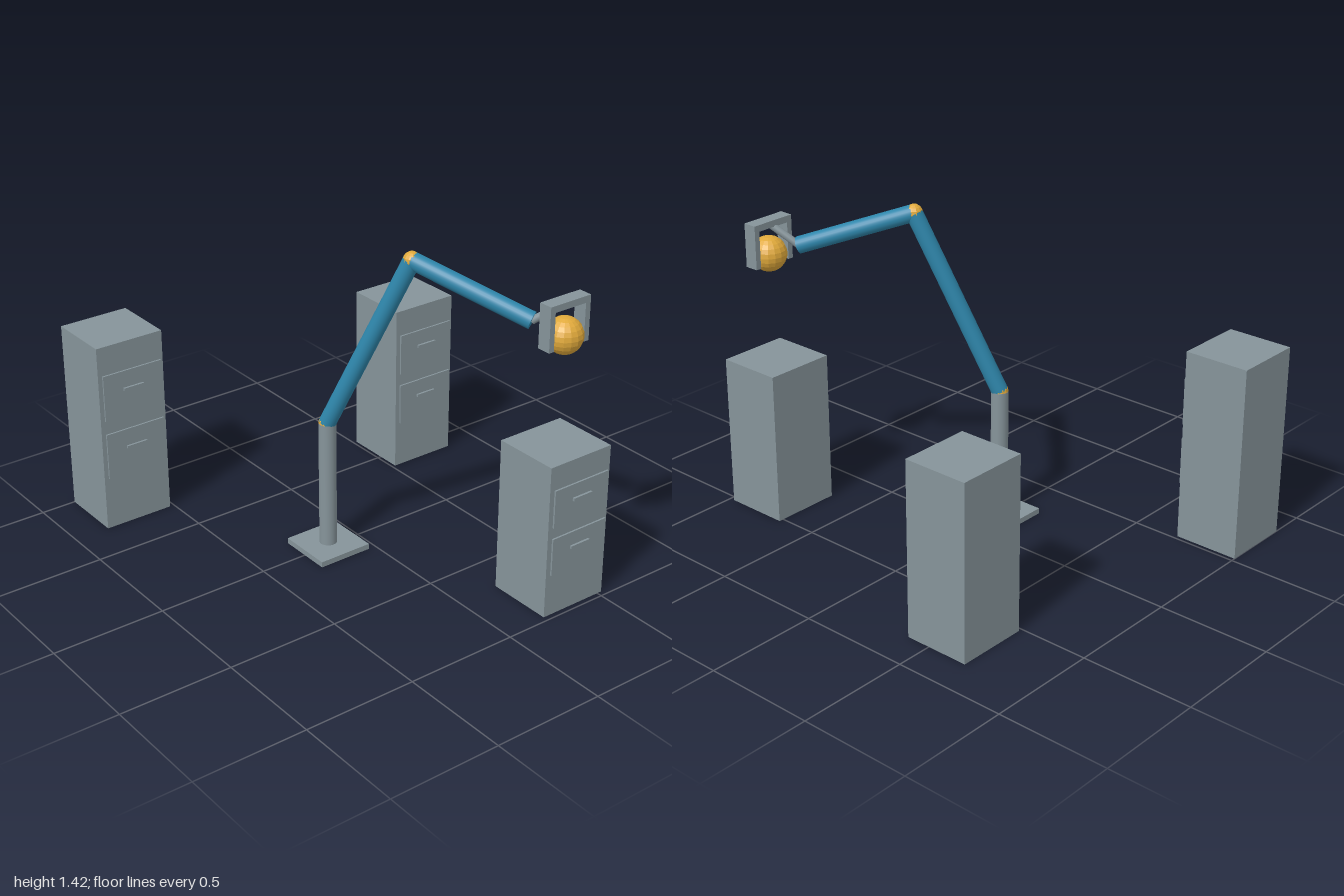
import * as THREE from 'three';

const material = (name, color) => Object.assign(new THREE.MeshStandardMaterial({ color }), { name });

export function createModel() {
  const steel = material('steel grey', 0x86949a);
  const blue = material('arm blue', 0x2e86ab);
  const gold = material('gold', 0xe0a93b);
  const model = new THREE.Group();
  model.name = 'robotArmAndCabinets';

  const add = (parent, name, geometry, mat, x, y, z) => {
    const mesh = new THREE.Mesh(geometry, mat);
    mesh.name = name;
    mesh.position.set(x, y, z);
    parent.add(mesh);
    return mesh;
  };
  const box = (parent, name, size, pos) =>
    add(parent, name, new THREE.BoxGeometry(...size), steel, ...pos);

  // Faceted sphere
  const ball = (parent, name, radius, p, w, h) => {
    const g = new THREE.SphereGeometry(radius, w, h).toNonIndexed();
    g.computeVertexNormals();
    return add(parent, name, g, gold, p.x, p.y, p.z);
  };

  // Cylinder between two points
  const up = new THREE.Vector3(0, 1, 0);
  const link = (parent, name, a, b, radius, mat) => {
    const dir = b.clone().sub(a);
    const mid = a.clone().add(b).multiplyScalar(0.5);
    const g = new THREE.CylinderGeometry(radius, radius, dir.length(), 24);
    const mesh = add(parent, name, g, mat, mid.x, mid.y, mid.z);
    mesh.quaternion.setFromUnitVectors(up, dir.normalize());
  };

  // Arm: base, column, two links with ball joints
  const arm = new THREE.Group();
  arm.name = 'arm';
  model.add(arm);
  const foot = new THREE.Vector3(-0.16, 0.02, 0);
  const shoulder = new THREE.Vector3(-0.16, 0.6, 0);
  const elbow = new THREE.Vector3(0.034, 1.382, 0.306);
  const wrist = new THREE.Vector3(0.29, 1.207, 0.735);
  const grip = new THREE.Vector3(0.362, 1.3, 0.84);
  box(arm, 'basePlate', [0.25, 0.025, 0.25], [-0.16, 0.0125, 0]);
  link(arm, 'column', foot, shoulder, 0.038, steel);
  link(arm, 'lowerArm', shoulder, elbow, 0.037, blue);
  link(arm, 'upperArm', elbow, wrist, 0.037, blue);
  ball(arm, 'shoulderJoint', 0.038, shoulder, 12, 8);
  ball(arm, 'elbowJoint', 0.038, elbow, 12, 8);

  // Gripper holding the ball
  const gripper = new THREE.Group();
  gripper.name = 'gripper';
  arm.add(gripper);
  link(gripper, 'wristRod', wrist, grip, 0.016, steel);
  box(gripper, 'gripperBar', [0.208, 0.029, 0.062], [grip.x, 1.303, grip.z]);
  for (const side of [-1, 1]) {
    box(gripper, side > 0 ? 'leftFinger' : 'rightFinger', [0.025, 0.17, 0.062],
      [grip.x + side * 0.0915, 1.209, grip.z]);
  }
  ball(model, 'heldBall', 0.078, new THREE.Vector3(0.363, 1.164, 0.842), 16, 12);

  // Filing cabinets: body, two floating drawer fronts, two handles
  const cabinet = (name, x, front, h) => {
    const group = new THREE.Group();
    group.name = name;
    group.position.set(x, 0, front);
    model.add(group);
    box(group, 'cabinetBody', [0.32, h, 0.296], [0, h / 2, -0.148]);
    for (const level of [0.408, 0.728]) {
      box(group, 'drawerFront', [0.286, 0.246 * h, 0.008], [0, level * h, 0.01]);
      box(group, 'drawerHandle', [0.098, 0.013, 0.01], [0, (level + 0.026) * h, 0.019]);
    }
  };
  cabinet('rightBackCabinet', -0.68, -0.704, 0.867);
  cabinet('leftBackCabinet', 0.677, -0.391, 0.779);
  cabinet('frontCabinet', 0.362, 0.976, 0.687);

  return model;
}
